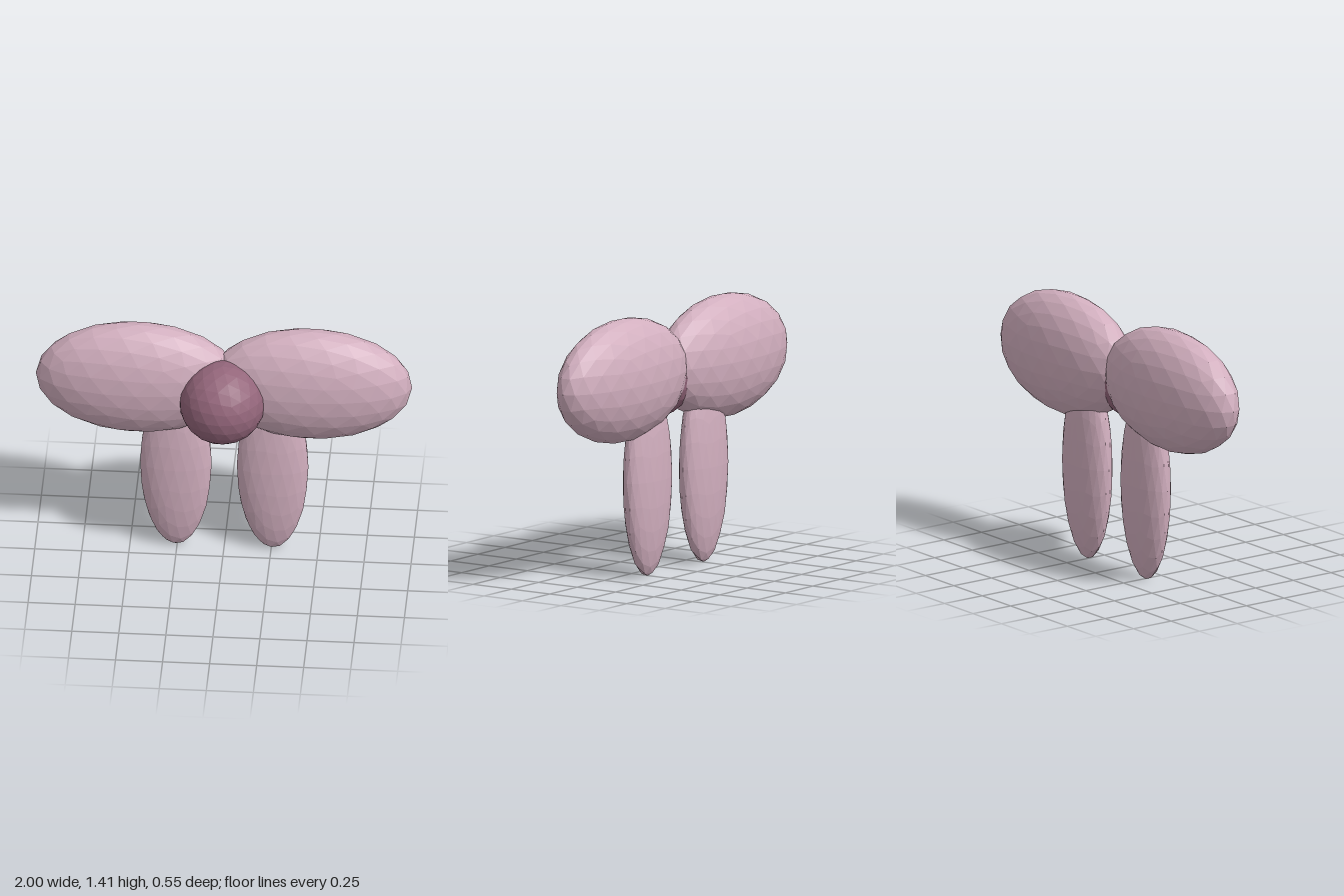
import * as THREE from 'three';

export function createModel() {
  const bow = new THREE.Group();
  bow.name = 'bow';

  const palePink = new THREE.MeshStandardMaterial({ color: 0xd2afbf, flatShading: true });
  palePink.name = 'pale pink';
  const mauve = new THREE.MeshStandardMaterial({ color: 0x94667b, flatShading: true });
  mauve.name = 'mauve';

  // Faceted unit ball with a corner at the top and bottom
  const ball = new THREE.IcosahedronGeometry(1, 3);
  ball.rotateZ(-Math.atan(2 / (1 + Math.sqrt(5))));

  function addEllipsoid(name, material, position, radii) {
    const geometry = ball.clone().scale(...radii);
    geometry.computeVertexNormals();
    const mesh = new THREE.Mesh(geometry, material);
    mesh.name = name;
    mesh.position.set(...position);
    bow.add(mesh);
  }

  // Mirrored loops and hanging tails
  for (const [side, s] of [['left', 1], ['right', -1]]) {
    addEllipsoid(side + 'Loop', palePink, [s * 0.46, 1.08, -0.085], [0.54, 0.332, 0.19]);
    addEllipsoid(side + 'Tail', palePink, [s * 0.257, 0.523, -0.108], [0.19, 0.523, 0.088]);
  }

  // Round knot at the front
  addEllipsoid('knot', mauve, [0, 1.03, 0.047], [0.228, 0.228, 0.228]);

  return bow;
}
